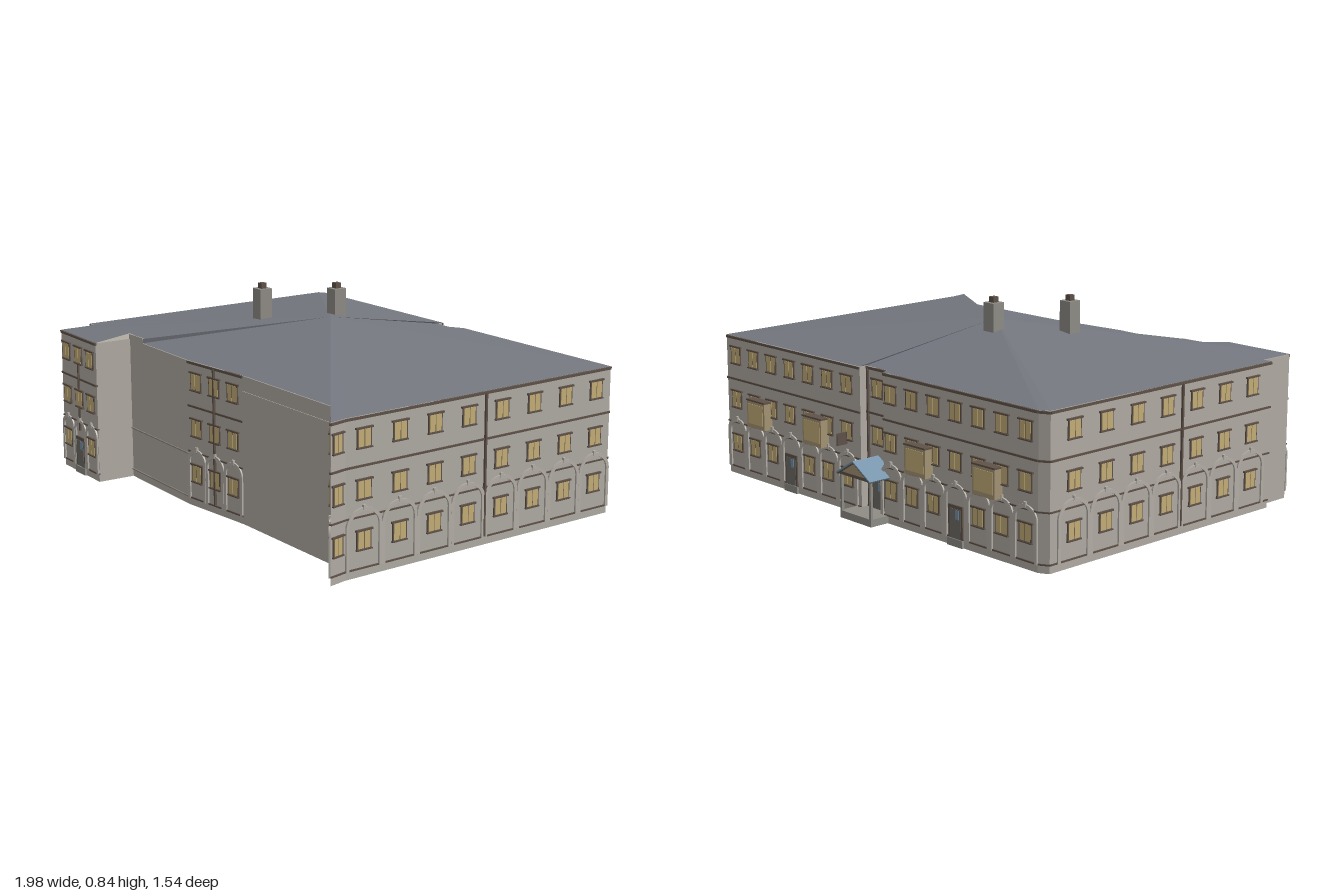
import * as THREE from 'three';

const mat = (color, side = THREE.FrontSide) => {
  const m = new THREE.MeshStandardMaterial({ side });
  m.color.set(color);
  return m;
};
const M = {
  wall: mat(0xb0aba3), trim: mat(0xb4afa7), dark: mat(0x5f5249), glass: mat(0xc4ae78),
  roof: mat(0x74777f, THREE.DoubleSide), blue: mat(0x7391a8, THREE.DoubleSide),
  stone: mat(0x8f8c85), door: mat(0x6f6b67), oriel: mat(0xa39373), base: mat(0x8a857d),
};
const H = 0.6;
const APEX = [-0.02, 0.72, -0.02];
const ROWS = [0.14, 0.33, 0.52];

function add(parent, name, geo, m, x = 0, y = 0, z = 0) {
  const mesh = new THREE.Mesh(geo, m);
  mesh.name = name;
  mesh.position.set(x, y, z);
  parent.add(mesh);
  return mesh;
}
const box = (p, name, w, h, d, m, x, y, z) => add(p, name, new THREE.BoxGeometry(w, h, d), m, x, y, z);

function triangles(points) {
  const g = new THREE.BufferGeometry();
  g.setAttribute('position', new THREE.Float32BufferAttribute(points.flat(), 3));
  g.computeVertexNormals();
  return g;
}

// Two-light window with frame, mullion, lintel and sill
function addWindow(p, x, y, w = 0.066) {
  const g = new THREE.Group();
  g.name = 'window';
  g.position.set(x, y, 0);
  box(g, 'windowFrame', w, 0.074, 0.008, M.dark, 0, 0, 0.001);
  for (const s of [-1, 1]) box(g, 'windowPane', w / 2 - 0.007, 0.064, 0.003, M.glass, s * (w / 4 - 0.002), 0, 0.005);
  box(g, 'lintel', w + 0.012, 0.007, 0.012, M.dark, 0, 0.037, 0.003);
  box(g, 'sill', w + 0.006, 0.005, 0.012, M.dark, 0, -0.037, 0.003);
  p.add(g);
}

// Door with frame, leaf and a small pane
function addDoor(p, x) {
  box(p, 'doorFrame', 0.078, 0.13, 0.008, M.dark, x, 0.095, 0.002);
  box(p, 'doorLeaf', 0.06, 0.115, 0.004, M.door, x, 0.089, 0.006);
  box(p, 'doorPane', 0.02, 0.035, 0.002, M.blue, x + 0.014, 0.125, 0.009);
  box(p, 'doorStep', 0.085, 0.03, 0.012, M.stone, x, 0.015, 0.004);
}

// Blind arch on slim piers
function addArch(p, x, s) {
  const r = s / 2, ry = 0.44 * s, t = 0.014, spring = 0.19;
  const sh = new THREE.Shape();
  sh.moveTo(r, 0.03);
  sh.lineTo(r, spring);
  sh.absellipse(0, spring, r, ry, 0, Math.PI, false);
  sh.lineTo(-r, 0.03);
  sh.lineTo(-r + t, 0.03);
  sh.lineTo(-r + t, spring);
  sh.absellipse(0, spring, r - t, ry - t, Math.PI, 0, true);
  sh.lineTo(r - t, 0.03);
  const geo = new THREE.ExtrudeGeometry(sh, { depth: 0.007, bevelEnabled: false, curveSegments: 10 });
  add(p, 'arch', geo, M.trim, x, 0, 0);
  box(p, 'keystone', 0.012, 0.02, 0.011, M.trim, x, spring + ry, 0.004);
}

// Windowed wall from a to b, left to right as seen from outside
function facade(root, name, a, b, cols, o = {}) {
  const g = new THREE.Group();
  const L = Math.hypot(b[0] - a[0], b[1] - a[1]);
  g.name = name;
  g.position.set(a[0], 0, a[1]);
  g.rotation.y = -Math.atan2(b[1] - a[1], b[0] - a[0]);
  const doors = o.doors || [];
  cols.forEach((x, i) => {
    ROWS.forEach((y, r) => {
      if (r === 0 && doors.includes(i)) addDoor(g, x);
      else addWindow(g, x, y, o.w);
    });
    if (o.arch) addArch(g, x, o.arch);
  });
  for (const [y, h] of [[0.595, 0.01], [0.417, 0.008], [0.228, 0.006], [0.033, 0.006]])
    box(g, 'stringCourse', L, h, 0.01, M.dark, L / 2, y, 0);
  for (const x of o.pipes || []) box(g, 'drainpipe', 0.008, 0.56, 0.01, M.dark, x, 0.315, 0.004);
  root.add(g);
  return g;
}
const spaced = (n, start, step) => Array.from({ length: n }, (_, i) => start + i * step);

export function createModel() {
  const root = new THREE.Group();
  root.name = 'building';

  // Footprint, from the front wing round to the back and home again
  const plan = [
    [-0.94, 0.742], [-0.62, 0.752], [-0.615, 0.59], [-0.5, 0.595], [-0.13, 0.606], [0.22, 0.573],
    [0.82, 0.573], [0.988, 0.712], [0.972, 0.635], [0.941, -0.683], [0.05, -0.677], [0.05, -0.643],
    [-0.09, -0.643], [-0.09, -0.675], [-0.94, -0.667], [-0.979, -0.645], [-0.979, 0.58], [-0.94, 0.58],
  ];
  const shape = new THREE.Shape(plan.map(([x, z]) => new THREE.Vector2(x, -z)));
  const walls = new THREE.ExtrudeGeometry(shape, { depth: H, bevelEnabled: false });
  walls.rotateX(-Math.PI / 2);
  add(root, 'walls', walls, M.wall);

  // Hipped roof: a fan to the apex, with the wing slope carried past the inner corner
  const eave = plan.map(([x, z]) => [x, H + 0.002, z]);
  const wingCorner = eave[1];
  eave[2] = [-0.615, 0.624, 0.59];
  const ring = [eave[0], eave[2], [-0.5, 0.62, 0.595], ...eave.slice(3)];
  const tris = [eave[0], wingCorner, eave[2]];
  ring.forEach((p, i) => tris.push(APEX, p, ring[(i + 1) % ring.length]));
  add(root, 'roof', triangles(tris), M.roof);
  box(root, 'roofUpstand', 0.115, 0.022, 0.006, M.wall, -0.558, 0.611, 0.592);

  // Both long sides and the pointed corner
  facade(root, 'leftSide', [0.972, 0.635], [0.941, -0.683], spaced(8, 0.082, 0.1652), { arch: 0.165, pipes: [0.66] });
  facade(root, 'leftCorner', [0.988, 0.712], [0.972, 0.635], [0.036], { w: 0.052 });
  facade(root, 'rightSide', [-0.979, -0.645], [-0.979, 0.58], spaced(7, 0.118, 0.165), { arch: 0.165, pipes: [0.6955] });
  facade(root, 'rightChamfer', [-0.94, -0.667], [-0.979, -0.645], []);

  // Front
  facade(root, 'frontWing', [-0.94, 0.742], [-0.62, 0.752], [0.05, 0.16, 0.265], { arch: 0.106, doors: [1] });
  for (const [y, h] of [[0.24, 0.1], [0.425, 0.11]]) box(root, 'drainpipe', 0.007, h, 0.01, M.dark, -0.78, y, 0.75);
  facade(root, 'frontCentre', [-0.13, 0.606], [0.22, 0.573], [0.055, 0.173, 0.29], { arch: 0.115, pipes: [0.173] });
  facade(root, 'frontCorner', [0.82, 0.573], [0.988, 0.712], [0.052, 0.165], { arch: 0.108, pipes: [0.1085] });
  box(root, 'blankPanel', 0.6, 0.51, 0.006, M.wall, 0.52, 0.285, 0.573);
  for (const y of [0.215, 0.033]) {
    const line = box(root, 'wallLine', 0.485, 0.005, 0.01, M.base, -0.372, y, 0.598);
    line.rotation.y = -0.03;
  }

  // Back, in two halves either side of the entrance recess
  const back = {
    backLeft: [[0.941, -0.683], [0.05, -0.677], 0.066],
    backRight: [[-0.09, -0.675], [-0.94, -0.667], 0.045],
  };
  for (const [name, [a, b, start]] of Object.entries(back)) {
    const g = facade(root, name, a, b, spaced(7, start, 0.124), { arch: 0.124, doors: [3] });
    for (const d of [-0.19, 0.19]) {
      const x = start + 3 * 0.124 + d;
      // Oriel bay with one broad glazed front
      box(g, 'oriel', 0.12, 0.115, 0.04, M.oriel, x, 0.298, 0.02);
      box(g, 'orielRoof', 0.124, 0.007, 0.043, M.dark, x, 0.357, 0.021);
      box(g, 'orielPane', 0.1, 0.085, 0.004, M.glass, x, 0.3, 0.04);
    }
  }
  facade(root, 'backRecess', [0.05, -0.643], [-0.09, -0.643], [0.07], { doors: [0], pipes: [0.012, 0.128] });

  // Entrance porch: slab, posts and a gabled canopy
  const porch = new THREE.Group();
  porch.name = 'porch';
  box(porch, 'porchSlab', 0.19, 0.03, 0.115, M.stone, -0.018, 0.017, -0.706);
  box(porch, 'porchBeam', 0.19, 0.012, 0.01, M.dark, -0.018, 0.187, -0.76);
  for (const s of [-1, 1]) {
    const x = -0.018 + s * 0.09;
    box(porch, 'porchPost', 0.011, 0.16, 0.011, M.stone, x, 0.11, -0.758);
    box(porch, 'porchSideBeam', 0.01, 0.012, 0.08, M.dark, x, 0.187, -0.722);
    const slope = box(porch, 'canopySlope', 0.122, 0.006, 0.13, M.blue, -0.018 + s * 0.052, 0.217, -0.71);
    slope.rotation.z = -s * 0.54;
    const soffit = box(porch, 'canopySoffit', 0.118, 0.004, 0.126, M.dark, -0.018 + s * 0.05, 0.213, -0.71);
    soffit.rotation.z = -s * 0.54;
  }
  add(porch, 'canopyGable', triangles([[0.08, 0.19, -0.765], [-0.116, 0.19, -0.765], [-0.018, 0.246, -0.765]]), M.oriel);
  root.add(porch);
  box(root, 'wallBracket', 0.006, 0.05, 0.05, M.dark, 0.135, 0.3, -0.705);

  // Chimneys with pots
  for (const [x, z] of [[-0.125, -0.126], [-0.303, 0.128]]) {
    const c = new THREE.Group();
    c.name = 'chimney';
    c.position.set(x, 0, z);
    box(c, 'chimneyStack', 0.058, 0.165, 0.058, M.stone, 0, 0.7305, 0);
    box(c, 'chimneyPot', 0.026, 0.024, 0.026, M.dark, 0, 0.824, 0);
    root.add(c);
  }
  return root;
}
